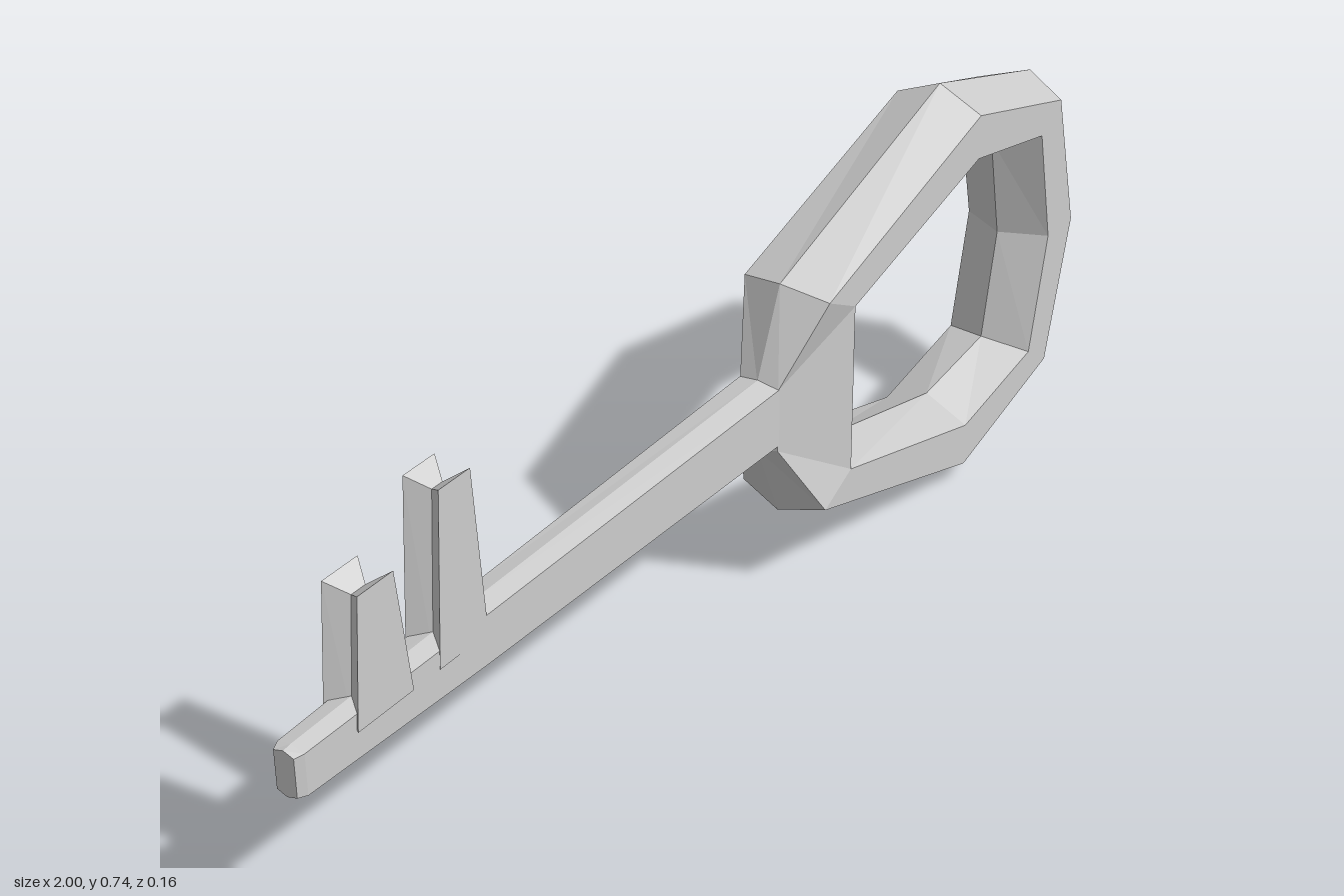
import * as THREE from 'three';

const material = new THREE.MeshStandardMaterial({ color: 0xcccccc, flatShading: true });

// Skin a list of equal-length loops; degenerate triangles are dropped.
function loft(name, loops, closed = false) {
  const pos = [];
  const tri = (a, b, c) => {
    const n = b.clone().sub(a).cross(c.clone().sub(a));
    if (n.length() > 1e-9) for (const p of [a, b, c]) pos.push(p.x, p.y, p.z);
  };
  const count = loops[0].length;
  const last = closed ? loops.length : loops.length - 1;
  for (let i = 0; i < last; i++) {
    const p = loops[i], q = loops[(i + 1) % loops.length];
    for (let j = 0; j < count; j++) {
      const k = (j + 1) % count;
      tri(p[j], p[k], q[k]);
      tri(p[j], q[k], q[j]);
    }
  }
  const g = new THREE.BufferGeometry();
  g.setAttribute('position', new THREE.Float32BufferAttribute(pos, 3));
  g.computeVertexNormals();
  const mesh = new THREE.Mesh(g, material);
  mesh.name = name;
  return mesh;
}

// Loop collapsed to its centre, used to cap a loft.
function cap(loop) {
  const c = new THREE.Vector3();
  loop.forEach(p => c.add(p));
  c.divideScalar(loop.length);
  return loop.map(() => c);
}

// Mirror the upper half outline (tip first) and set each point's depth.
const CENTRE = 0.374;
const NECK = 4; // index of the narrow neck point
function bowLoop(half, depth, thinNeck) {
  const at = ([x, y], i, s) => new THREE.Vector3(x, CENTRE + s * y,
    depth * (thinNeck && i === NECK ? 0.45 : 1));
  const upper = half.map((p, i) => at(p, i, 1));
  const lower = half.map((p, i) => at(p, i, -1)).slice(1).reverse();
  return [...upper, ...lower];
}

// Open handle ring with ridged outer and inner walls
function makeBow() {
  const outerRidge = [[1, 0], [0.92, 0.278], [0.62, 0.371], [0.16, 0.21], [0.1, 0.062]];
  const outerFace = [[0.955, 0], [0.89, 0.255], [0.62, 0.335], [0.18, 0.192], [0.105, 0.056]];
  const innerFace = [[0.875, 0], [0.83, 0.212], [0.62, 0.257], [0.254, 0.152], [0.254, 0.152]];
  const innerRidge = [[0.837, 0], [0.8, 0.193], [0.62, 0.22], [0.283, 0.138], [0.283, 0.138]];
  const D = 0.08;
  return loft('bow', [
    bowLoop(outerFace, -D, true), bowLoop(outerRidge, 0), bowLoop(outerFace, D, true),
    bowLoop(innerFace, D), bowLoop(innerRidge, 0), bowLoop(innerFace, -D),
  ], true);
}

// Tapered six-sided shaft with shallow ridges above and below
function makeShaft() {
  const section = (x, h, d, ridge) => [
    [h, 0], [h - ridge, d], [-h + ridge, d], [-h, 0], [-h + ridge, -d], [h - ridge, -d],
  ].map(([y, z]) => new THREE.Vector3(x, 0.379 + y, z));
  const loops = [
    section(-1, 0.039, 0.018, 0.006), section(-0.985, 0.041, 0.024, 0.006),
    section(-0.62, 0.05, 0.031, 0.008), section(0.12, 0.06, 0.037, 0.008),
  ];
  return loft('shaft', [cap(loops[0]), ...loops, cap(loops[3])]);
}

// Tapered tooth with V grooves along its sides and top
function makeTooth(name, baseLeft, baseRight, topLeft, topRight, top) {
  const outline = (z, inset) => [
    [baseLeft + inset, 0.39], [baseRight - inset, 0.39],
    [topRight - inset, top - inset], [topLeft + inset, top - inset],
  ].map(([x, y]) => new THREE.Vector3(x, y, z));
  const back = outline(-0.031, 0), front = outline(0.031, 0);
  return loft(name, [cap(back), back, outline(0, 0.022), front, cap(front)]);
}

export function createModel() {
  const model = new THREE.Group();
  model.name = 'key';
  model.add(
    makeBow(),
    makeShaft(),
    makeTooth('shortTooth', -0.888, -0.772, -0.87, -0.797, 0.603),
    makeTooth('tallTooth', -0.716, -0.61, -0.698, -0.631, 0.677),
  );
  return model;
}
